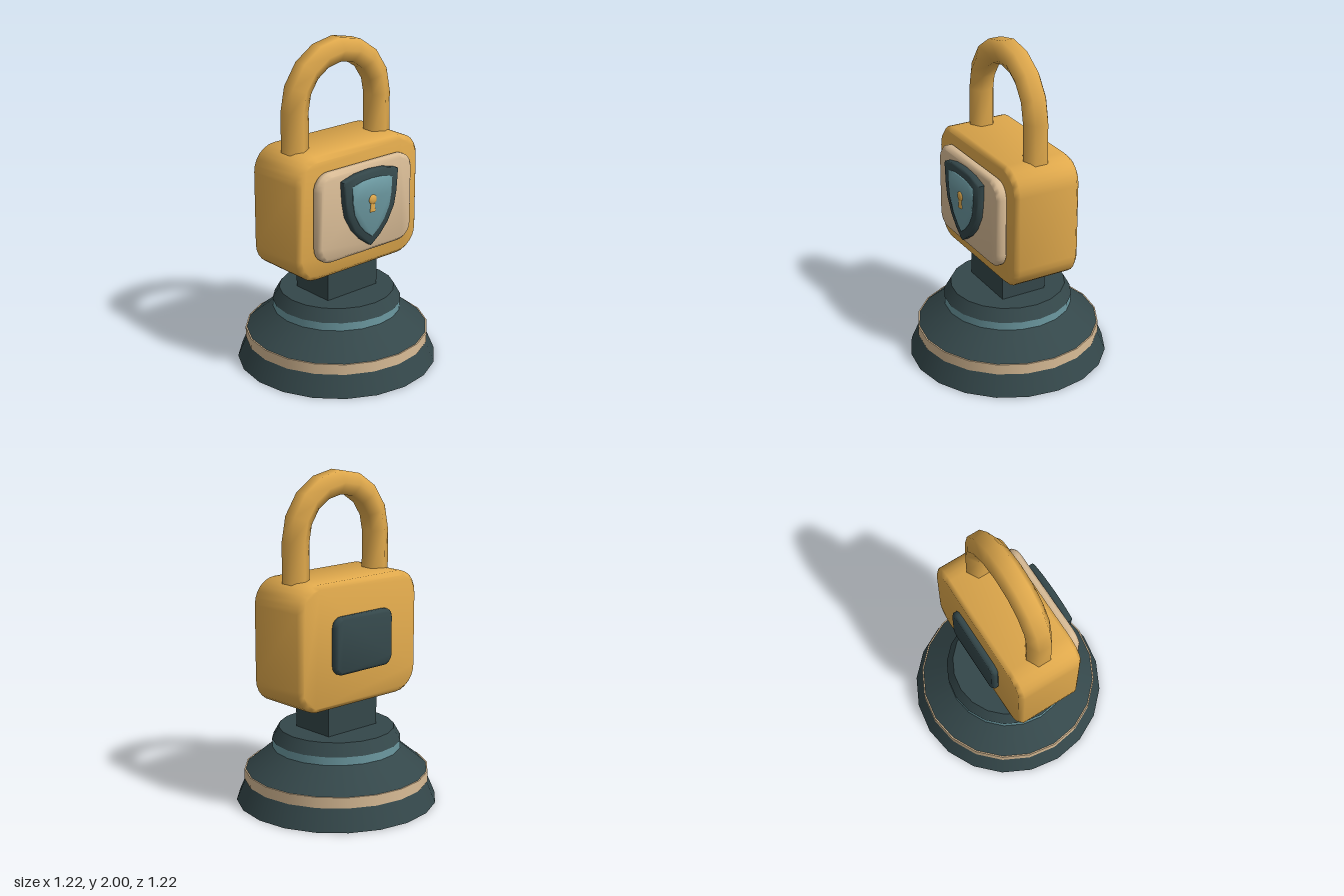
import * as THREE from 'three';
import { toCreasedNormals } from 'three/addons/utils/BufferGeometryUtils.js';

const makeMaterial = (name, color) => {
  const m = new THREE.MeshStandardMaterial({ color });
  m.name = name;
  return m;
};

// Rounded rectangle centred on (0, cy)
function roundedRect(hw, hh, r, cy) {
  const s = new THREE.Shape();
  s.absarc(hw - r, cy + hh - r, r, 0, Math.PI / 2);
  s.absarc(-hw + r, cy + hh - r, r, Math.PI / 2, Math.PI);
  s.absarc(-hw + r, cy - hh + r, r, Math.PI, Math.PI * 1.5);
  s.absarc(hw - r, cy - hh + r, r, Math.PI * 1.5, Math.PI * 2);
  s.closePath();
  return s;
}

// Mirrored shape from the right-hand outline, listed from top centre to bottom tip
function mirroredShape(half) {
  const left = half.slice(1, -1).reverse().map(([x, y]) => [-x, y]);
  return new THREE.Shape([...half, ...left].map(([x, y]) => new THREE.Vector2(x, y)));
}

// Bevelled slab between z0 and z1; the bevel stays inside the outline
function slab(shape, z0, z1, bevel, segments = 3) {
  const g = new THREE.ExtrudeGeometry(shape, {
    depth: z1 - z0 - 2 * bevel, curveSegments: segments,
    bevelEnabled: true, bevelSize: bevel, bevelThickness: bevel, bevelOffset: -bevel, bevelSegments: 1,
  });
  g.translate(0, 0, z0 + bevel);
  return toCreasedNormals(g, 1.0);
}

// Six-sided bar swept up one leg, round the arch and down the other
function shackleGeometry(radius, tube, footY, archY) {
  const rings = [[radius, footY, 0]];
  for (let i = 0; i <= 8; i++) {
    const a = (i / 8) * Math.PI;
    rings.push([radius * Math.cos(a), archY + radius * Math.sin(a), a]);
  }
  rings.push([-radius, footY, Math.PI]);
  const sides = 6, pos = [], index = [];
  rings.forEach(([x, y, a], i) => {
    for (let j = 0; j < sides; j++) {
      const b = (j / sides) * Math.PI * 2;
      const out = tube * Math.sin(b);
      pos.push(x + out * Math.cos(a), y + out * Math.sin(a), tube * Math.cos(b));
      if (i === 0) continue;
      const k = (j + 1) % sides, p = (i - 1) * sides, q = i * sides;
      index.push(p + j, p + k, q + k, p + j, q + k, q + j);
    }
  });
  const g = new THREE.BufferGeometry();
  g.setAttribute('position', new THREE.Float32BufferAttribute(pos, 3));
  g.setIndex(index);
  g.computeVertexNormals();
  return g;
}

export function createModel() {
  const gold = makeMaterial('gold', 0xe0a94c);
  const slate = makeMaterial('dark slate', 0x34474a);
  const teal = makeMaterial('teal', 0x6c99a1);
  const cream = makeMaterial('cream', 0xd9bc96);

  const model = new THREE.Group();
  model.name = 'padlockTrophy';
  const add = (name, geometry, material) => {
    const mesh = new THREE.Mesh(geometry, material);
    mesh.name = name;
    model.add(mesh);
    return mesh;
  };

  // Stepped round pedestal: name, bottom y, top y, bottom radius, top radius
  const tiers = [
    ['baseSkirt', 0, 0.13, 0.61, 0.555, slate],
    ['creamBand', 0.13, 0.195, 0.56, 0.56, cream],
    ['baseSlope', 0.195, 0.33, 0.552, 0.39, slate],
    ['tealBand', 0.33, 0.38, 0.39, 0.39, teal],
    ['baseCap', 0.38, 0.455, 0.392, 0.35, slate],
  ];
  for (const [name, y0, y1, r0, r1, material] of tiers) {
    add(name, new THREE.CylinderGeometry(r1, r0, y1 - y0, 20), material).position.y = (y0 + y1) / 2;
  }

  // Neck between pedestal and lock
  add('neck', new THREE.BoxGeometry(0.39, 0.21, 0.29), slate).position.y = 0.55;

  // Lock body, front plate and back plate
  add('lockBody', slab(roundedRect(0.47, 0.375, 0.15, 1.015), -0.21, 0.21, 0.025), gold);
  add('frontPlate', slab(roundedRect(0.365, 0.273, 0.1, 1.028), 0.2, 0.27, 0.02), cream);
  add('backPlate', slab(roundedRect(0.23, 0.172, 0.06, 1.018), -0.25, -0.2, 0.015), slate);

  // Shackle
  add('shackle', shackleGeometry(0.315, 0.081, 1.36, 1.615), gold);

  // Shield with inset face
  const shield = [
    [0, 1.275], [0.11, 1.267], [0.21, 1.24], [0.2, 1.11], [0.182, 1.02], [0.13, 0.925], [0.07, 0.86], [0, 0.808],
  ];
  const shieldFace = [
    [0, 1.228], [0.08, 1.224], [0.155, 1.205], [0.15, 1.11], [0.135, 1.03], [0.095, 0.955], [0.05, 0.905], [0, 0.868],
  ];
  add('shieldRim', slab(mirroredShape(shield), 0.265, 0.313, 0.008), slate);
  add('shieldFace', slab(mirroredShape(shieldFace), 0.31, 0.318, 0.003), teal);

  // Keyhole: round head over a flared stem
  const head = add('keyholeHead', new THREE.SphereGeometry(0.03, 12, 8), gold);
  head.position.set(0, 1.097, 0.317);
  head.scale.z = 0.4;
  const stem = add('keyholeStem', new THREE.CylinderGeometry(0.014, 0.023, 0.065, 8), gold);
  stem.position.set(0, 1.056, 0.317);
  stem.scale.z = 0.4;

  return model;
}
